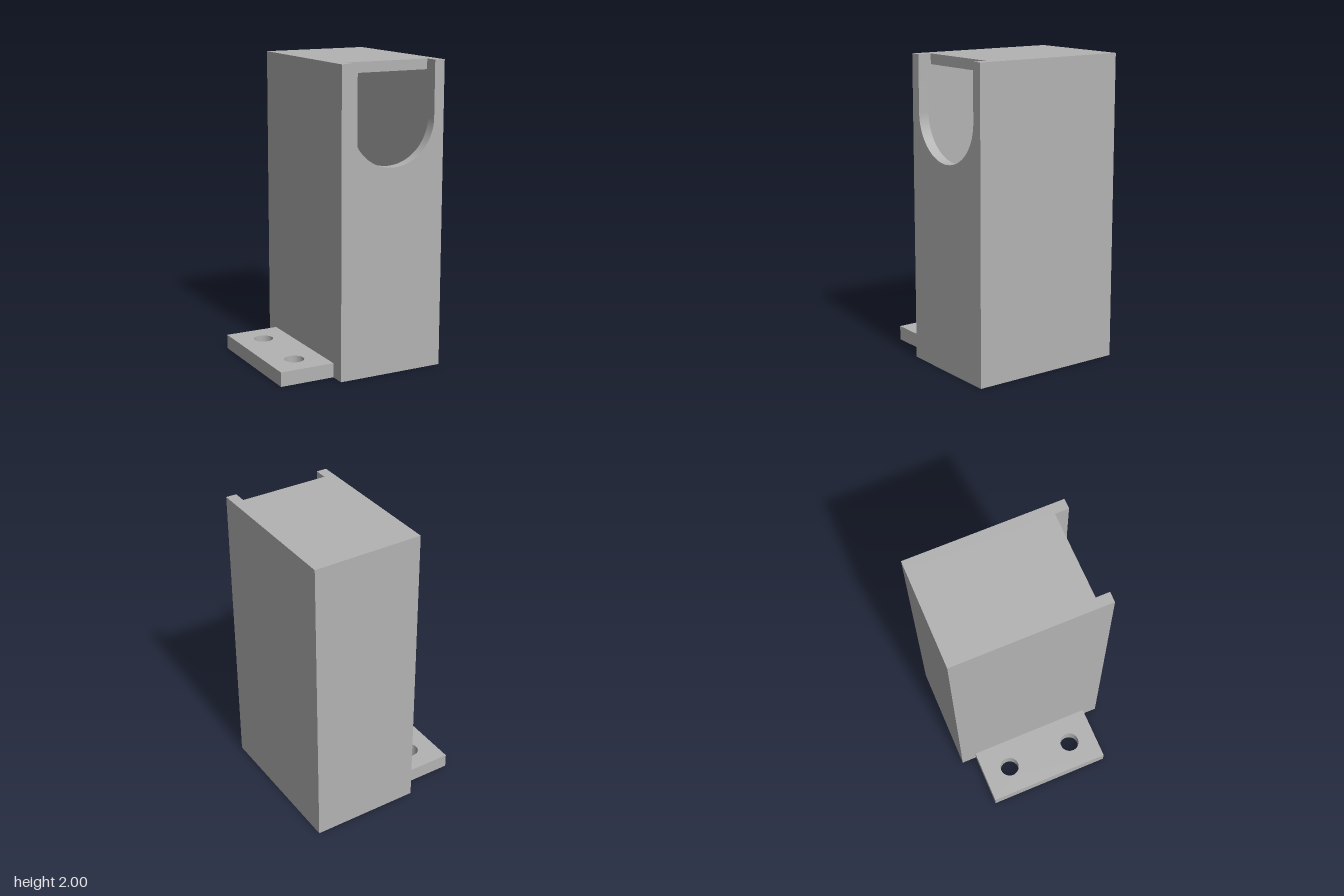
import * as THREE from 'three';
import { toCreasedNormals } from 'three/addons/utils/BufferGeometryUtils.js';

// Main dimensions
const X0 = -0.18, X1 = 0.55;     // outer left and right of the housing
const IX0 = -0.11, IX1 = 0.48;   // inner cavity
const Z = 0.525, IZ = 0.455;     // outer and inner half depth
const H = 2, ROOF = 0.067;

export function createModel() {
  const group = new THREE.Group();
  group.name = 'mountingHousing';
  const grey = new THREE.MeshStandardMaterial({ color: 0xb3b3b3 });
  grey.name = 'grey';

  const add = (name, geometry) => {
    const mesh = new THREE.Mesh(geometry, grey);
    mesh.name = name;
    group.add(mesh);
    return mesh;
  };
  const polygon = (points) => new THREE.Shape(points.map(([x, y]) => new THREE.Vector2(x, y)));
  const extrude = (shape, depth) => toCreasedNormals(
    new THREE.ExtrudeGeometry(shape, { depth, bevelEnabled: false, curveSegments: 48 }), 0.5);
  // Plan shapes are drawn as (x, -z) and extruded upwards
  const extrudeUp = (shape, height) => extrude(shape, height).rotateX(-Math.PI / 2);

  // Back and side walls, one channel open at the front and bottom
  add('backAndSideWalls', extrudeUp(polygon([
    [X0, -IZ], [IX0, -IZ], [IX0, IZ], [IX1, IZ],
    [IX1, -IZ], [X1, -IZ], [X1, Z], [X0, Z],
  ]), H));

  // Front wall with a round-bottomed notch open at the top
  const cx = (IX0 + IX1) / 2, r = (IX1 - IX0) / 2, cy = 1.64;
  const front = new THREE.Shape();
  front.moveTo(X0, 0);
  front.lineTo(X1, 0);
  front.lineTo(X1, H);
  front.lineTo(IX1, H);
  front.lineTo(IX1, cy);
  front.absarc(cx, cy, r, 0, -Math.PI, true);
  front.lineTo(IX0, H);
  front.lineTo(X0, H);
  front.closePath();
  add('frontWall', extrude(front, Z - IZ)).position.z = IZ;

  // Roof, stopping just short of the front wall
  const roofFront = 0.433;
  add('roof', new THREE.BoxGeometry(IX1 - IX0, ROOF, roofFront + IZ))
    .position.set(cx, H - ROOF / 2, (roofFront - IZ) / 2);

  // Mounting flange with two screw holes
  const flange = polygon([[-0.55, -0.422], [X0, -0.422], [X0, 0.422], [-0.55, 0.422]]);
  for (const z of [-0.234, 0.234]) {
    flange.holes.push(new THREE.Path().absarc(-0.365, z, 0.065, 0, Math.PI * 2, true));
  }
  add('mountingFlange', extrudeUp(flange, 0.095));

  return group;
}
